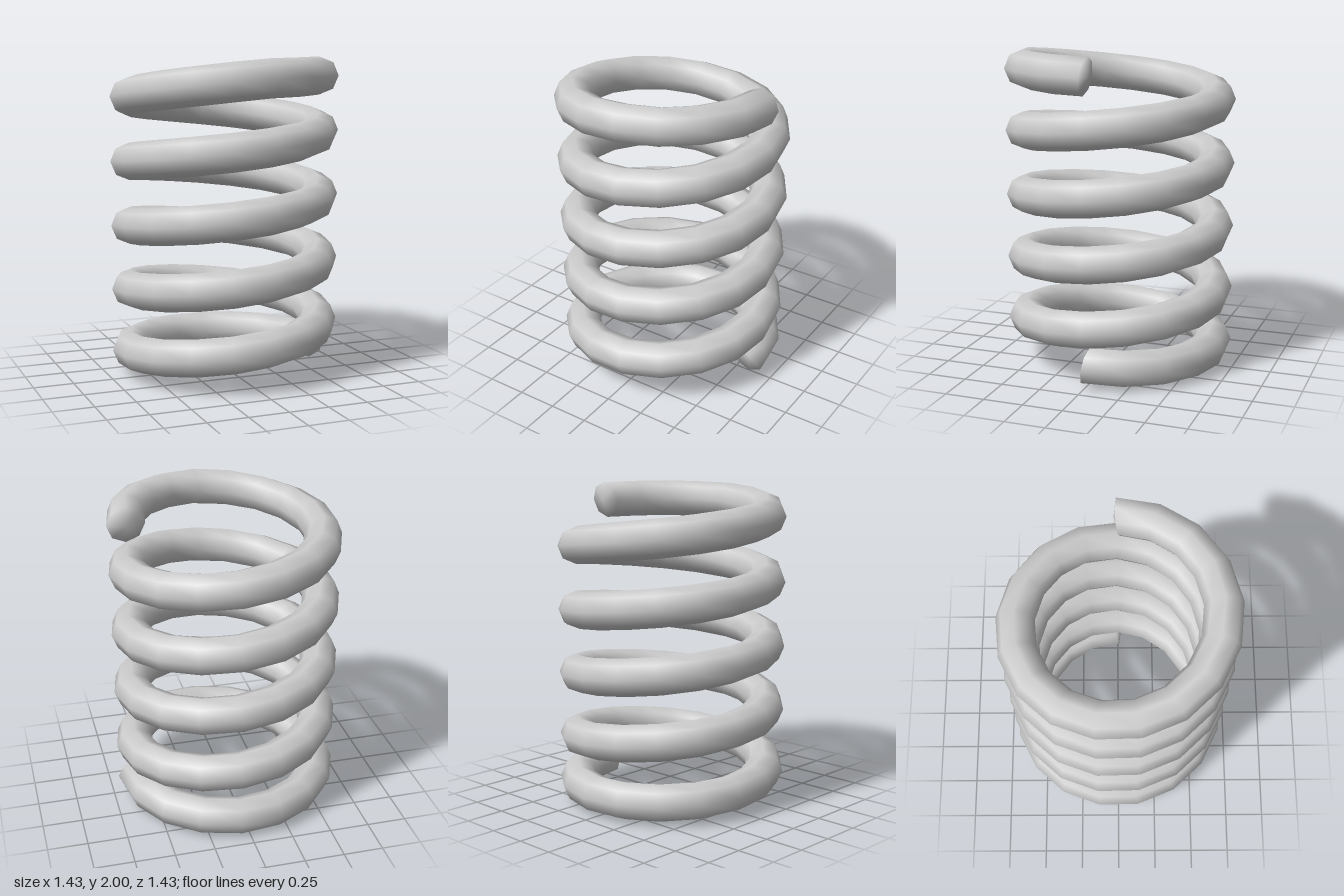
import * as THREE from 'three';

const TURNS = 5, PER_TURN = 17, SIDES = 8;
const COIL_R = 0.603, WIRE_R = 0.116, TIP = 0.025, END_SLOPE = -0.14;

// Height of the wire's centre line by turn: nearly flat ends, even pitch between
const HEIGHTS = [
  [0, 0.13], [0.1, 0.12], [0.25, 0.117], [0.38, 0.13], [0.5, 0.158], [0.75, 0.26], [1, 0.357],
  [4.5, 1.768], [4.75, 1.872], [4.88, 1.884], [5, 1.88],
];

function heightAt(t) {
  const k = Math.max(1, HEIGHTS.findIndex(([turn]) => turn >= t - 1e-9));
  const [t0, y0] = HEIGHTS[k - 1], [t1, y1] = HEIGHTS[k];
  return THREE.MathUtils.mapLinear(t, t0, t1, y0, y1);
}

// Centre, outward, tangent and upward directions of one wire section
function sectionFrame(i, count) {
  const t = i / PER_TURN, a = t * Math.PI * 2, step = 0.5 / PER_TURN;
  const atEnd = i === 0 || i === count;
  const slope = atEnd ? END_SLOPE
    : (heightAt(t + step) - heightAt(t - step)) / (2 * step * Math.PI * 2 * COIL_R);
  const out = new THREE.Vector3(Math.cos(a), 0, -Math.sin(a));
  const tangent = new THREE.Vector3(-Math.sin(a), slope, -Math.cos(a)).normalize();
  const up = new THREE.Vector3().crossVectors(tangent, out).negate();
  if (up.y < 0) up.negate();
  const centre = out.clone().multiplyScalar(COIL_R).setY(heightAt(t));
  return { centre, out, tangent, up };
}

function coilGeometry() {
  const count = TURNS * PER_TURN, points = [], index = [];

  // Octagonal sections swept along the coil
  for (let i = 0; i <= count; i++) {
    const { centre, out, up } = sectionFrame(i, count);
    for (let j = 0; j < SIDES; j++) {
      const b = (j / SIDES) * Math.PI * 2;
      points.push(centre.clone()
        .addScaledVector(out, WIRE_R * Math.cos(b))
        .addScaledVector(up, WIRE_R * Math.sin(b)));
    }
  }
  for (let i = 0; i < count; i++) {
    for (let j = 0; j < SIDES; j++) {
      const k = (j + 1) % SIDES;
      const a = i * SIDES + j, b = a + SIDES, c = i * SIDES + k, d = c + SIDES;
      index.push(a, b, c, b, d, c);
    }
  }

  // Slightly pointed caps on both wire ends
  for (const [i, sign] of [[0, -1], [count, 1]]) {
    const { centre, tangent } = sectionFrame(i, count);
    const tip = points.push(centre.addScaledVector(tangent, sign * TIP)) - 1;
    for (let j = 0; j < SIDES; j++) {
      const a = i * SIDES + j, b = i * SIDES + ((j + 1) % SIDES);
      if (sign < 0) index.push(tip, a, b);
      else index.push(tip, b, a);
    }
  }

  const geometry = new THREE.BufferGeometry().setFromPoints(points);
  geometry.setIndex(index);
  geometry.computeVertexNormals();
  return geometry;
}

export function createModel() {
  const group = new THREE.Group();
  group.name = 'coilSpring';
  const coil = new THREE.Mesh(coilGeometry(), new THREE.MeshStandardMaterial({ color: 0xcccccc }));
  coil.name = 'coil';
  coil.position.x = -0.003;
  group.add(coil);
  return group;
}
